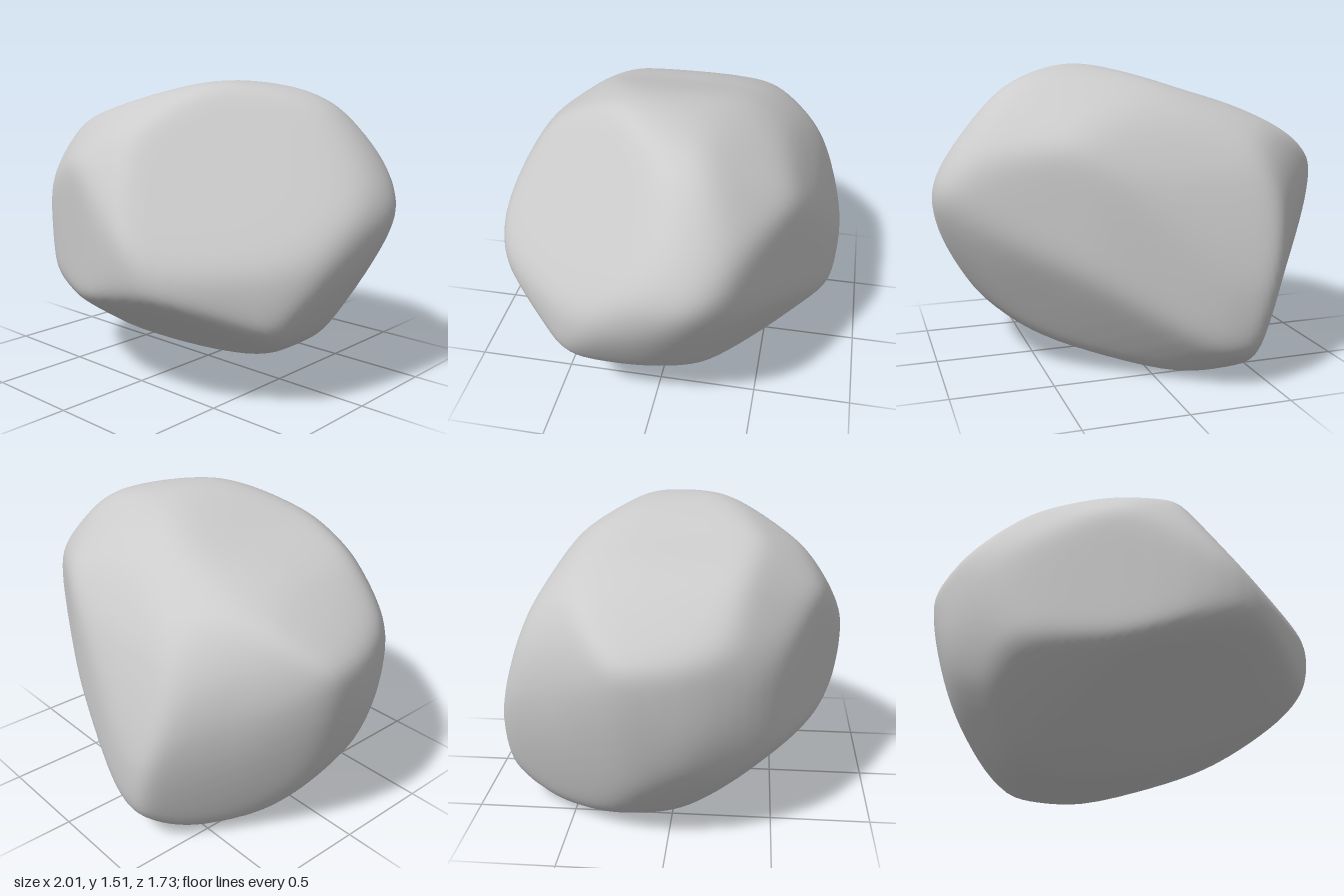
import * as THREE from 'three';
import { mergeVertices } from 'three/addons/utils/BufferGeometryUtils.js';

const CENTRE_Y = 0.75;
const SHARPNESS = 34; // higher gives harder ridges between the faces
const SWELL = 1.015; // makes up for what the soft rounding takes off

// Smooth closed profile of the boulder around its centre, facing a heading and tilt in degrees.
function profile(heading, tilt, coords) {
  const a = THREE.MathUtils.degToRad(heading), e = THREE.MathUtils.degToRad(tilt);
  const corners = [];
  for (let i = 0; i < coords.length; i += 2) corners.push(new THREE.Vector3(coords[i], coords[i + 1], 0));
  return {
    right: new THREE.Vector3(Math.cos(a), 0, -Math.sin(a)),
    up: new THREE.Vector3(-Math.sin(a) * Math.sin(e), Math.cos(e), -Math.cos(a) * Math.sin(e)),
    points: new THREE.CatmullRomCurve3(corners, true, 'catmullrom', 0.36).getPoints(78),
  };
}

// Upright front and side profiles, then the plan
const front = profile(0, 0, [-1.02, 0.23, -0.87, -0.4, -0.69, -0.67, -0.25, -0.76, 0.4, -0.62, 0.76, -0.42,
  1.01, 0.12, 0.74, 0.61, 0.25, 0.76, -0.27, 0.62, -0.73, 0.48]);
const side = profile(90, 0, [-0.16, 0.76, 0.42, 0.66, 0.7, 0.28, 0.86, -0.25, 0.83, -0.56, 0.55, -0.75,
  0, -0.74, -0.5, -0.54, -0.81, -0.25, -0.87, 0.08, -0.6, 0.55]);
const plan = profile(0, 90, [-1.02, 0.19, -0.73, 0.57, -0.5, 0.86, -0.3, 0.86, 0, 0.78, 0.35, 0.66, 0.9, 0.38,
  1.02, 0.2, 0.93, -0.25, 0.74, -0.52, 0.31, -0.87, -0.43, -0.63, -0.83, -0.38]);

// Slanted profiles that cut the corners between them
const slantFront = profile(38, 22, [0.97, 0.05, 0.69, 0.49, 0.19, 0.74, -0.4, 0.66, -0.87, 0.35,
  -0.85, -0.22, -0.27, -0.66, 0.23, -0.75, 0.57, -0.61]);
const slantBack = profile(218, 22, [-0.05, 0.83, -0.6, 0.72, -0.96, 0.28, -0.67, -0.32, -0.25, -0.89,
  0.27, -0.92, 0.75, -0.47, 0.9, 0.02, 0.69, 0.42, 0.41, 0.66]);
const slantBelow = profile(142, -22, [-0.4, 0.84, -0.83, 0.31, -0.88, -0.28, 0.37, -0.78, 0.71, -0.67,
  0.93, 0, 0.75, 0.43, 0.09, 0.8]);

const profiles = [front, side, plan, slantFront, slantBack, slantBelow];

// Flat worn face on the upper front corner
const wornNormal = new THREE.Vector3(0.6, 0.55, 0.58);
const wornDistance = 0.715;

// Distance from the centre to a profile in the direction (u, v).
function reach(points, u, v) {
  let far = 0.3;
  for (let i = 0; i < points.length - 1; i++) {
    const a = points[i], b = points[i + 1];
    const sa = u * a.y - v * a.x, sb = u * b.y - v * b.x;
    if (sa * sb > 0 || sa === sb) continue;
    const t = sa / (sa - sb);
    far = Math.max(far, u * (a.x + (b.x - a.x) * t) + v * (a.y + (b.y - a.y) * t));
  }
  return far;
}

// Softly rounded intersection of all profiles and the worn face.
function radius(d) {
  let sum = Math.max(0, d.dot(wornNormal) / wornDistance) ** SHARPNESS;
  for (const { right, up, points } of profiles) {
    const u = d.dot(right), v = d.dot(up), len = Math.hypot(u, v);
    if (len > 0.05) sum += (len / reach(points, u / len, v / len)) ** SHARPNESS;
  }
  return SWELL * sum ** (-1 / SHARPNESS);
}

export function createModel() {
  let geometry = new THREE.IcosahedronGeometry(1, 32);
  geometry.deleteAttribute('uv');
  geometry.deleteAttribute('normal');
  geometry = mergeVertices(geometry, 1e-4);

  // Push every point of the sphere out to the boulder surface
  const pos = geometry.attributes.position, d = new THREE.Vector3();
  for (let i = 0; i < pos.count; i++) {
    d.fromBufferAttribute(pos, i).normalize();
    d.multiplyScalar(radius(d));
    pos.setXYZ(i, d.x, d.y + CENTRE_Y, d.z);
  }

  // Rest the lowest point on the ground
  geometry.computeBoundingBox();
  geometry.translate(0, -geometry.boundingBox.min.y, 0);
  geometry.computeVertexNormals();

  const boulder = new THREE.Mesh(geometry, new THREE.MeshStandardMaterial({ color: 0xcccccc }));
  boulder.name = 'boulder';
  const group = new THREE.Group();
  group.name = 'rock';
  group.add(boulder);
  return group;
}
